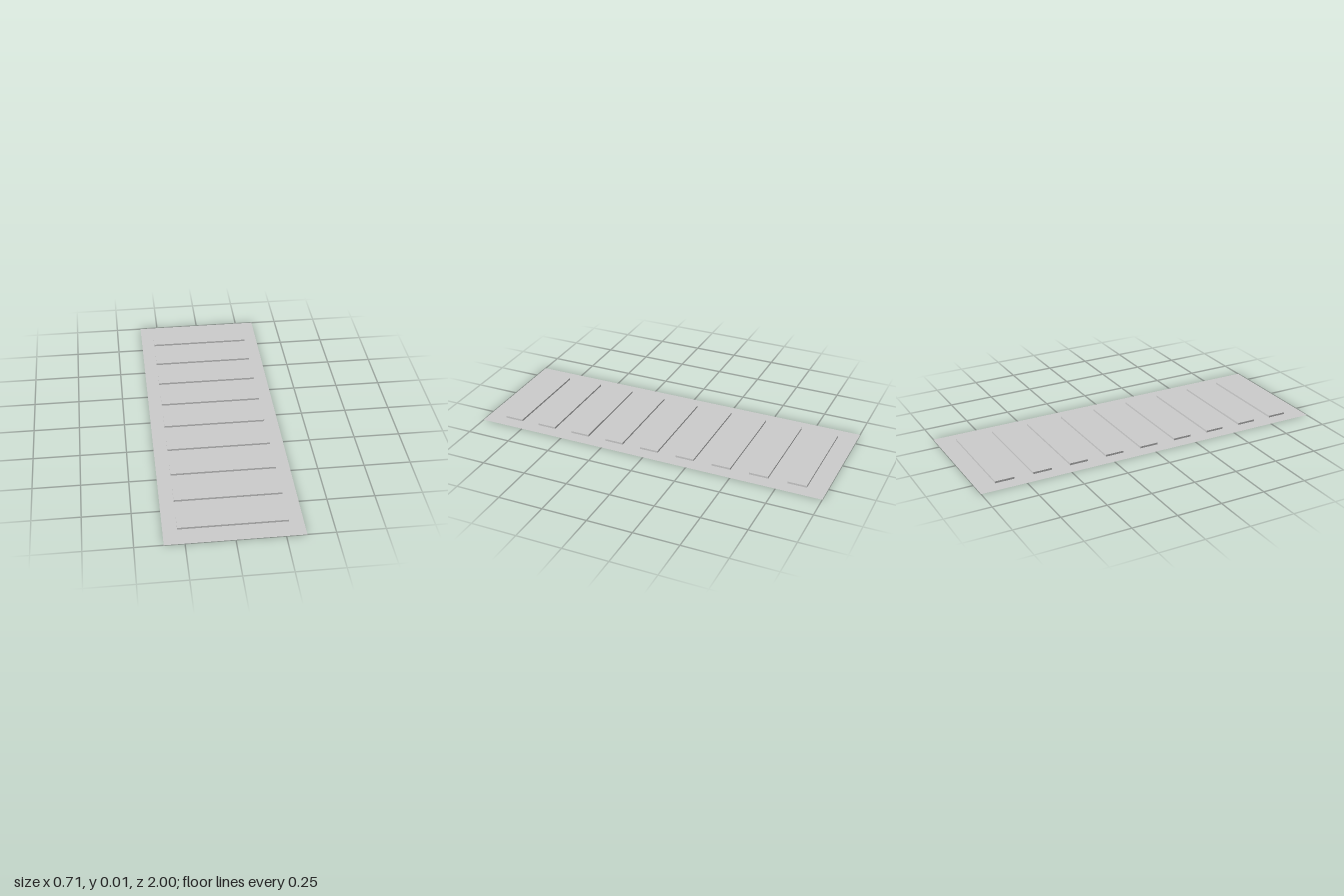
import * as THREE from 'three';

const WIDTH = 0.708, LENGTH = 2;
const COUNT = 9;
const STRIP = LENGTH / (2 * COUNT + 1); // ribs and gaps share one width
const RIB_WIDTH = 0.56, RIB_HEIGHT = 0.0105;

// Adds a centred rectangle to a Shape or Path
function rectangle(path, w, h, cy = 0) {
  path.moveTo(-w / 2, cy - h / 2);
  path.lineTo(w / 2, cy - h / 2);
  path.lineTo(w / 2, cy + h / 2);
  path.lineTo(-w / 2, cy + h / 2);
  path.closePath();
  return path;
}

export function createModel() {
  const group = new THREE.Group();
  group.name = 'embossedPanel';
  const material = new THREE.MeshStandardMaterial({
    color: 0xcccccc, side: THREE.DoubleSide, flatShading: true,
  });

  // Thin sheet, open beneath each rib
  const outline = rectangle(new THREE.Shape(), WIDTH, LENGTH);

  // Raised rib: a shallow box without its bottom face
  const ribGeometry = new THREE.BoxGeometry(RIB_WIDTH, RIB_HEIGHT, STRIP);
  const index = Array.from(ribGeometry.index.array);
  index.splice(18, 6);
  ribGeometry.setIndex(index);
  ribGeometry.clearGroups();
  ribGeometry.translate(0, RIB_HEIGHT / 2, 0);

  for (let i = 0; i < COUNT; i++) {
    const z = (i - (COUNT - 1) / 2) * 2 * STRIP;
    outline.holes.push(rectangle(new THREE.Path(), RIB_WIDTH, STRIP, -z));
    const rib = new THREE.Mesh(ribGeometry, material);
    rib.name = `raisedRib${i + 1}`;
    rib.position.z = z;
    group.add(rib);
  }

  const sheet = new THREE.Mesh(new THREE.ShapeGeometry(outline).rotateX(-Math.PI / 2), material);
  sheet.name = 'baseSheet';
  group.add(sheet);
  return group;
}
